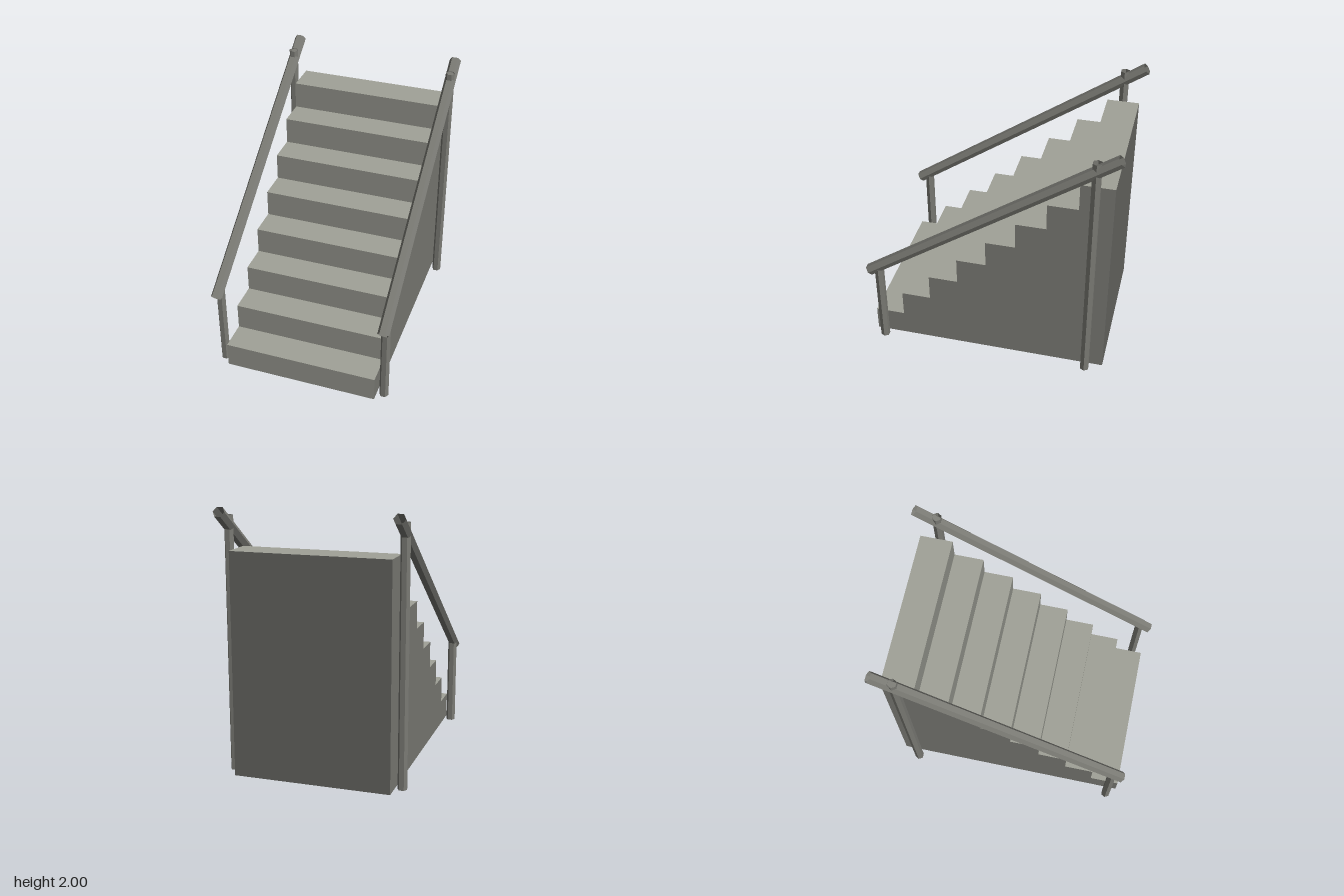
import * as THREE from 'three';

const STEPS = 8, WIDTH = 1.2;
const FIRST_RISE = 0.2, RISE = 0.213;
const FRONT = 0.942, TREAD = 0.229, BACK = -0.91;
const RAIL_X = 0.655;

const paint = (color, side = THREE.FrontSide) =>
  new THREE.MeshStandardMaterial({ color, side, flatShading: true });
const treadMaterial = paint(0xa1a298);
const riserMaterial = paint(0x8e8f87);
const sideMaterial = paint(0x787872);
const backMaterial = paint(0x646460);
const bottomMaterial = paint(0x595955);
const railMaterial = paint(0x7a7a74, THREE.DoubleSide);

const stepTop = (i) => FIRST_RISE + i * RISE;
const stepFront = (i) => FRONT - i * TREAD;
const stepBack = (i) => (i < STEPS - 1 ? stepFront(i + 1) : BACK);

// Panel across the full stair width, turned about x
function panel(name, material, height, y, z, turn) {
  const mesh = new THREE.Mesh(new THREE.PlaneGeometry(WIDTH, height), material);
  mesh.name = name;
  mesh.position.set(0, y, z);
  mesh.rotation.x = turn;
  return mesh;
}

// Stepped side wall; sign is +1 for the left, -1 for the right
function sideWall(sign) {
  const profile = new THREE.Shape();
  profile.moveTo(-sign * BACK, 0);
  profile.lineTo(-sign * FRONT, 0);
  for (let i = 0; i < STEPS; i++) {
    profile.lineTo(-sign * stepFront(i), stepTop(i));
    profile.lineTo(-sign * stepBack(i), stepTop(i));
  }
  const mesh = new THREE.Mesh(new THREE.ShapeGeometry(profile), sideMaterial);
  mesh.name = sign > 0 ? 'leftWall' : 'rightWall';
  mesh.position.x = sign * WIDTH / 2;
  mesh.rotation.y = sign * Math.PI / 2;
  return mesh;
}

// Closed stair block of treads, risers, side walls, back and bottom
function stairs() {
  const group = new THREE.Group();
  group.name = 'stairs';
  for (let i = 0; i < STEPS; i++) {
    const top = stepTop(i), base = i ? stepTop(i - 1) : 0;
    const front = stepFront(i), back = stepBack(i);
    group.add(
      panel('riser', riserMaterial, top - base, (top + base) / 2, front, 0),
      panel('tread', treadMaterial, front - back, top, (front + back) / 2, -Math.PI / 2),
    );
  }
  const height = stepTop(STEPS - 1);
  group.add(
    sideWall(1),
    sideWall(-1),
    panel('backWall', backMaterial, height, height / 2, BACK, Math.PI),
    panel('bottom', bottomMaterial, FRONT - BACK, 0, (FRONT + BACK) / 2, Math.PI / 2),
  );
  return group;
}

// Open six-sided tube between two (y, z) points, with corners pointing sideways
function hexTube(name, radius, x, [y0, z0], [y1, z1]) {
  const dy = y1 - y0, dz = z1 - z0;
  const geometry = new THREE.CylinderGeometry(radius, radius, Math.hypot(dy, dz), 6, 1, true, Math.PI / 6);
  const tube = new THREE.Mesh(geometry, railMaterial);
  tube.name = name;
  tube.position.set(x, (y0 + y1) / 2, (z0 + z1) / 2);
  tube.rotation.x = Math.atan2(dz, dy);
  return tube;
}

export function createModel() {
  const model = new THREE.Group();
  model.name = 'staircase';
  model.add(stairs());

  // One railing on each side: sloped handrail on two posts
  for (const [side, sign] of [['left', 1], ['right', -1]]) {
    const railing = new THREE.Group();
    railing.name = `${side}Railing`;
    const x = sign * RAIL_X;
    railing.add(
      hexTube('handrail', 0.045, x, [0.661, 0.942], [1.969, -0.942]),
      hexTube('frontPost', 0.036, x, [0, 0.863], [0.72, 0.863]),
      hexTube('backPost', 0.036, x, [0, -0.778], [1.93, -0.778]),
    );
    model.add(railing);
  }
  return model;
}
